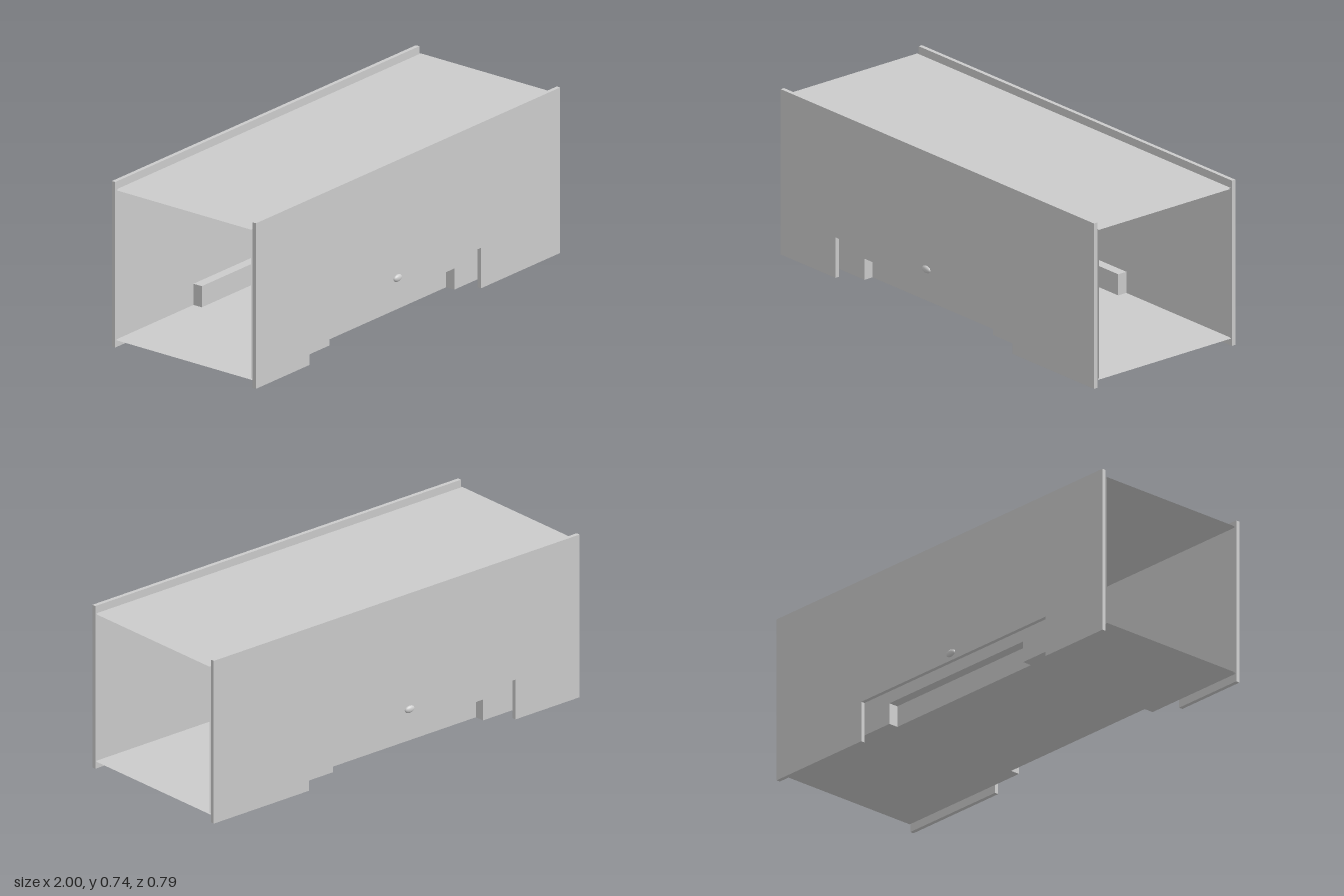
import * as THREE from 'three';

const grey = new THREE.MeshStandardMaterial({ color: 0xcccccc, side: THREE.DoubleSide, flatShading: true });
const smooth = new THREE.MeshStandardMaterial({ color: 0xcccccc, side: THREE.DoubleSide });

function add(parent, name, geometry, material = grey) {
  const mesh = new THREE.Mesh(geometry, material);
  mesh.name = name;
  parent.add(mesh);
  return mesh;
}

// Rectangle with a notch cut up from its lower edge
function notched(yb, yt, x0, x1, yn) {
  return new THREE.Shape([
    [-1, yb], [x0, yb], [x0, yn], [x1, yn], [x1, yb], [1, yb], [1, yt], [-1, yt],
  ].map(([x, y]) => new THREE.Vector2(x, y)));
}

// One thin skin of the open-ended duct, with a finger recess in each side
function ductSkin(name, zWall, zDeep, yb, yt, x0, x1, yRecess) {
  const g = new THREE.Group();
  g.name = name;
  const w = x1 - x0, cx = (x0 + x1) / 2, h = yRecess - yb, d = zWall - zDeep;

  add(g, 'ductTop', new THREE.PlaneGeometry(2, 0.716).rotateX(-Math.PI / 2)).position.y = yt;

  // Floor, cut away below both recesses
  const floor = new THREE.Shape([
    [-1, -zWall], [x0, -zWall], [x0, -zDeep], [x1, -zDeep], [x1, -zWall], [1, -zWall],
    [1, zWall], [x1, zWall], [x1, zDeep], [x0, zDeep], [x0, zWall], [-1, zWall],
  ].map(([x, y]) => new THREE.Vector2(x, y)));
  add(g, 'ductFloor', new THREE.ShapeGeometry(floor).rotateX(Math.PI / 2)).position.y = yb;

  for (const s of [1, -1]) {
    const side = new THREE.Group();
    side.name = s > 0 ? 'frontDuctSide' : 'backDuctSide';
    side.scale.z = s;
    add(side, 'ductWall', new THREE.ShapeGeometry(notched(yb, yt, x0, x1, yRecess))).position.z = zWall;
    add(side, 'recessBack', new THREE.PlaneGeometry(w, h)).position.set(cx, yb + h / 2, zDeep);
    add(side, 'recessCeiling', new THREE.PlaneGeometry(w, d).rotateX(Math.PI / 2))
      .position.set(cx, yRecess, zDeep + d / 2);
    for (const x of [x0, x1]) {
      add(side, 'recessEnd', new THREE.PlaneGeometry(d, h).rotateY(x === x0 ? Math.PI / 2 : -Math.PI / 2))
        .position.set(x, yb + h / 2, zDeep + d / 2);
    }
    g.add(side);
  }
  return g;
}

export function createModel() {
  const model = new THREE.Group();
  model.name = 'openDuctCase';

  // Thin double-skinned duct
  model.add(ductSkin('outerSkin', 0.363, 0.319, 0.034, 0.705, -0.49, 0.33, 0.128));
  model.add(ductSkin('innerSkin', 0.358, 0.314, 0.039, 0.7, -0.495, 0.335, 0.133));

  // Front and back cover panels, each with a small domed stud
  for (const s of [1, -1]) {
    const cover = new THREE.Group();
    cover.name = s > 0 ? 'frontCover' : 'backCover';
    cover.scale.z = s;
    add(cover, 'coverPanel', new THREE.ExtrudeGeometry(notched(0, 0.735, -0.65, 0.48, 0.18),
      { depth: 0.018, bevelEnabled: false })).position.z = 0.366;
    const stud = add(cover, 'stud',
      new THREE.SphereGeometry(1, 24, 8, 0, Math.PI * 2, 0, Math.PI / 2).rotateX(Math.PI / 2), smooth);
    stud.scale.set(0.026, 0.016, 0.012);
    stud.position.set(-0.07, 0.212, 0.384);
    model.add(cover);
  }
  return model;
}
